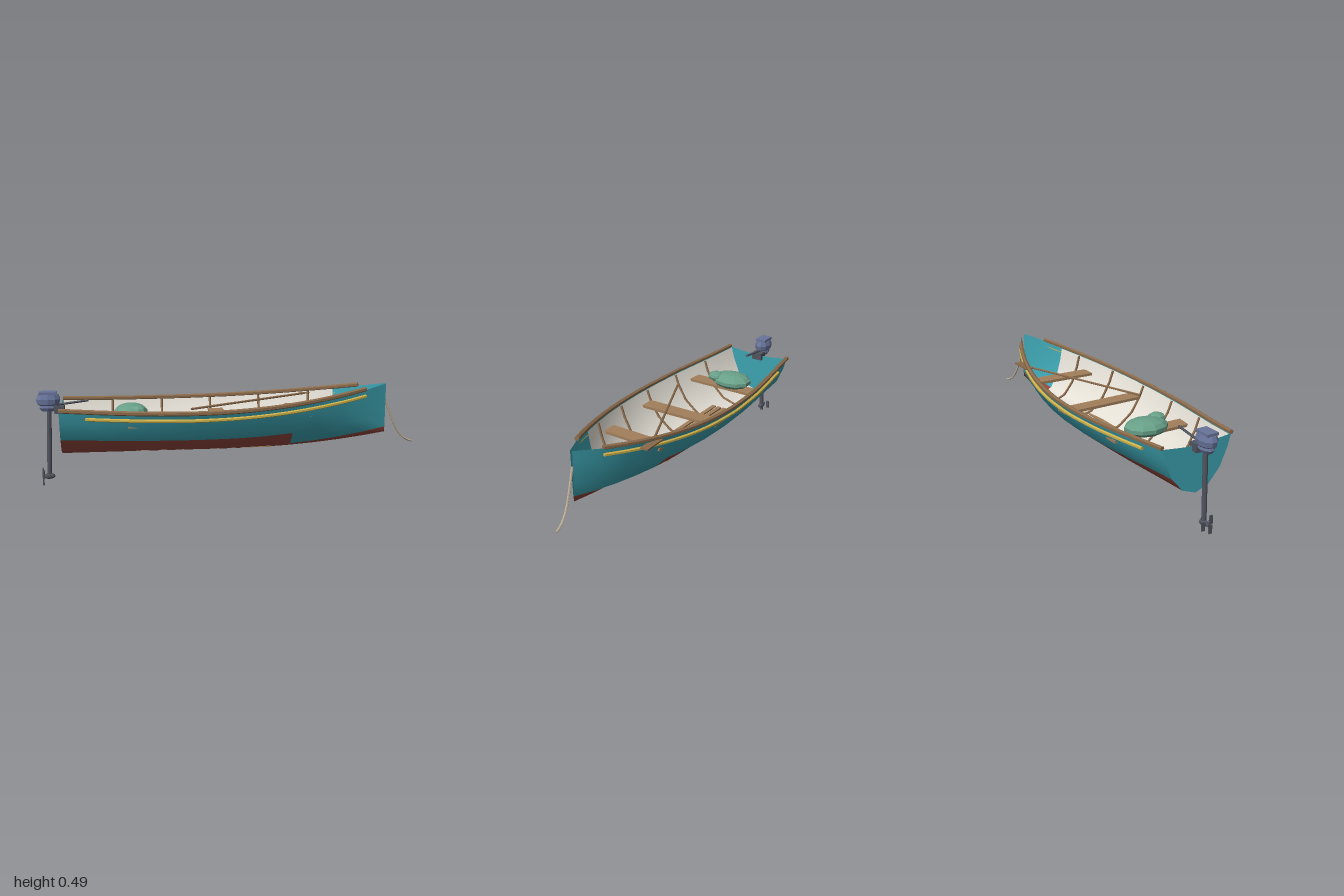
import * as THREE from 'three';

const mat = (name, color, opts = {}) => {
  const m = new THREE.MeshStandardMaterial({ color, ...opts });
  m.name = name;
  return m;
};
const V = (x, y, z) => new THREE.Vector3(x, y, z);

// Hull form: half beam, sheer and keel height along x (bow at +x)
const STATIONS = [-0.875, -0.72, -0.58, -0.4, -0.2, 0, 0.15, 0.3, 0.44, 0.57, 0.7, 0.83];
const BEAMS = [0.188, 0.207, 0.228, 0.25, 0.262, 0.257, 0.24, 0.212, 0.174, 0.13, 0.076, 0.006];
const beam = (x) => {
  let i = 0;
  while (i < STATIONS.length - 2 && x > STATIONS[i + 1]) i++;
  return THREE.MathUtils.mapLinear(x, STATIONS[i], STATIONS[i + 1], BEAMS[i], BEAMS[i + 1]);
};
const sheer = (x) => 0.398 + (x > -0.25 ? 0.083 : 0.04) * (x + 0.25) ** 2;
const keel = (x) => 0.165 + (x > 0 ? 0.1 * x * x : 0);

// Half section from keel to sheer: [fraction of beam, fraction of height]
const SECTION = [[0, 0], [0.38, 0.106], [0.7, 0.383], [0.905, 0.745], [1, 1]];
const section = (x, inset = 0) => {
  const w = beam(x) - inset, k = keel(x) + inset * 0.7, s = sheer(x) - inset * 0.2;
  const half = SECTION.map(([a, b]) => V(x, k + (s - k) * b, w * a));
  return [...half.slice(1).reverse().map((p) => V(p.x, p.y, -p.z)), ...half];
};

// Skin lofted through the sections; paint(row, x) picks the material index
function skin(xs, inset, paint, flip) {
  const pos = [], idx = [], n = 9;
  const g = new THREE.BufferGeometry();
  xs.forEach((x) => section(x, inset).forEach((p) => pos.push(p.x, p.y, p.z)));
  for (let i = 0; i < xs.length - 1; i++) {
    for (let j = 0; j < n - 1; j++) {
      const a = i * n + j, b = a + n;
      g.addGroup(idx.length, 6, paint(j, (xs[i] + xs[i + 1]) / 2));
      if (flip) idx.push(a, a + 1, b, b, a + 1, b + 1);
      else idx.push(a, b, a + 1, b, b + 1, a + 1);
    }
  }
  g.setAttribute('position', new THREE.Float32BufferAttribute(pos, 3));
  g.setIndex(idx);
  g.computeVertexNormals();
  return g;
}

export function createModel() {
  const boat = new THREE.Group();
  boat.name = 'motorboat';
  const dbl = { side: THREE.DoubleSide };
  const teal = mat('teal paint', 0x3da3b1, dbl);
  const red = mat('red bottom paint', 0x93473c, dbl);
  const white = mat('white liner', 0xe4e0d6, dbl);
  const wood = mat('wood', 0xa17f5b, { flatShading: true });
  const trim = mat('dark wood trim', 0x8a6a4b, { flatShading: true });
  const yellow = mat('yellow rope', 0xcdb04a, { flatShading: true });
  const blue = mat('slate blue cowling', 0x68749a, { flatShading: true });
  const dark = mat('dark metal', 0x50545e, { flatShading: true });
  const green = mat('green canvas', 0x68a088, { flatShading: true });
  const beige = mat('beige rope', 0xb9ab94, { flatShading: true });

  const add = (name, geo, material, x = 0, y = 0, z = 0) => {
    const m = new THREE.Mesh(geo, material);
    m.name = name;
    m.position.set(x, y, z);
    boat.add(m);
    return m;
  };
  const box = (name, m, w, h, d, x, y, z) => add(name, new THREE.BoxGeometry(w, h, d), m, x, y, z);
  // Solid tube along points, closed by small end caps
  const rod = (name, m, pts, r, segs = 12, sides = 6) => {
    const curve = new THREE.CatmullRomCurve3(pts);
    add(name, new THREE.TubeGeometry(curve, segs, r, sides), m);
    [0, 1].forEach((t) => {
      const cap = add(name + 'End', new THREE.CircleGeometry(r, sides), m);
      const p = curve.getPoint(t);
      cap.position.copy(p);
      cap.lookAt(p.clone().addScaledVector(curve.getTangent(t), t ? 1 : -1));
    });
  };

  // Hull with red bottom, stepping down one strake toward the bow
  const bottom = (j, x) => {
    const row = j < 4 ? 3 - j : j - 4;
    return row === 0 || (row === 1 && x < 0.3) ? 1 : 0;
  };
  add('hull', skin(STATIONS, 0, bottom, false), [teal, red]);
  add('liner', skin([-0.87, ...STATIONS.slice(1, 10)], 0.011, () => 0, true), [white]);

  // Transom
  const outline = section(-0.875).map((p) => new THREE.Vector2(p.z, p.y));
  outline.push(new THREE.Vector2(0.07, 0.4), new THREE.Vector2(-0.07, 0.4));
  const transom = new THREE.ShapeGeometry(new THREE.Shape(outline));
  transom.rotateY(-Math.PI / 2);
  add('transom', transom, teal, -0.875);

  // Gunwales and rope fenders on both sides
  for (const s of [-1, 1]) {
    const run = (from, to, f) => Array.from({ length: 14 }, (_, i) => f(from + ((to - from) * i) / 13));
    rod('gunwale', trim, run(-0.875, 0.7, (x) => V(x, sheer(x) + 0.006, s * (beam(x) + 0.001))), 0.012, 26);
    rod('fenderRope', yellow, run(-0.745, 0.7, (x) => V(x, sheer(x) - 0.031, s * (beam(x) * 0.955 + 0.009))), 0.009, 40);
  }

  // Ribs following the inside of the hull
  for (let i = 0; i < 5; i++) {
    const path = new THREE.CurvePath();
    const pts = section(-0.615 + i * 0.264, 0.014);
    for (let j = 0; j < 8; j++) path.add(new THREE.LineCurve3(pts[j], pts[j + 1]));
    add('rib', new THREE.TubeGeometry(path, 32, 0.007, 5), trim);
  }

  // Thwarts
  [[-0.5, 0.335, 0.425, 0], [-0.056, 0.335, 0.452, 0.02], [0.354, 0.362, 0.34, -0.02]].forEach(([x, y, d, r]) => {
    box('seat', wood, 0.08, 0.014, d, x, y, -0.004).rotation.y = r;
  });

  // Floor slats
  [[-0.068, 0.2], [-0.034, 0.25], [0, 0.26], [0.034, 0.25], [0.068, 0.2]].forEach(([z, end]) => {
    box('floorSlat', wood, end + 0.5, 0.01, 0.024, (end - 0.5) / 2, 0.19, z);
  });

  // Canvas bag with its tied neck
  add('bag', new THREE.SphereGeometry(1, 10, 7), green, -0.52, 0.37, -0.03).scale.set(0.088, 0.043, 0.115);
  add('bagNeck', new THREE.SphereGeometry(1, 8, 6), green, -0.485, 0.388, 0.052).scale.set(0.043, 0.026, 0.045);

  // Oar laid across the gunwale
  rod('oarShaft', trim, [V(-0.22, 0.405, 0.135), V(0.42, 0.425, -0.158)], 0.006, 1);
  const blade = box('oarBlade', trim, 0.13, 0.008, 0.042, 0.465, 0.425, -0.178);
  blade.rotation.y = 0.02;

  // Bow painter
  rod('bowRope', beige, [V(0.828, 0.415, 0), V(0.862, 0.33, -0.008), V(0.905, 0.24, -0.018),
    V(0.95, 0.19, -0.027), V(0.998, 0.17, -0.035)], 0.006, 12);

  // Outboard motor
  const cowl = new THREE.LatheGeometry([[0, 0.385], [0.034, 0.388], [0.048, 0.405], [0.044, 0.417], [0.058, 0.425],
    [0.063, 0.45], [0.052, 0.474], [0, 0.476]].map(([r, y]) => new THREE.Vector2(r, y)), 10);
  add('cowling', cowl, blue, -0.937).scale.z = 0.7;
  box('cowlingCap', blue, 0.085, 0.014, 0.06, -0.938, 0.48, 0);
  box('motorBracket', dark, 0.05, 0.04, 0.06, -0.882, 0.395, 0);
  rod('tiller', dark, [V(-0.9, 0.418, 0), V(-0.735, 0.438, 0)], 0.006, 1);
  rod('driveShaft', dark, [V(-0.934, 0.39, 0), V(-0.946, 0.05, 0)], 0.012, 1, 8);
  add('gearCase', new THREE.SphereGeometry(1, 8, 6), dark, -0.946, 0.046, 0).scale.set(0.03, 0.016, 0.016);
  rod('propellerShaft', dark, [V(-0.983, 0.046, 0), V(-0.95, 0.046, 0)], 0.007, 1);
  [[0.07, 0.015], [0.022, 0.014], [0.046, -0.027]].forEach(([y, z]) => {
    box('propellerBlade', dark, 0.007, 0.043, 0.018, -0.976, y, z);
  });
  return boat;
}
